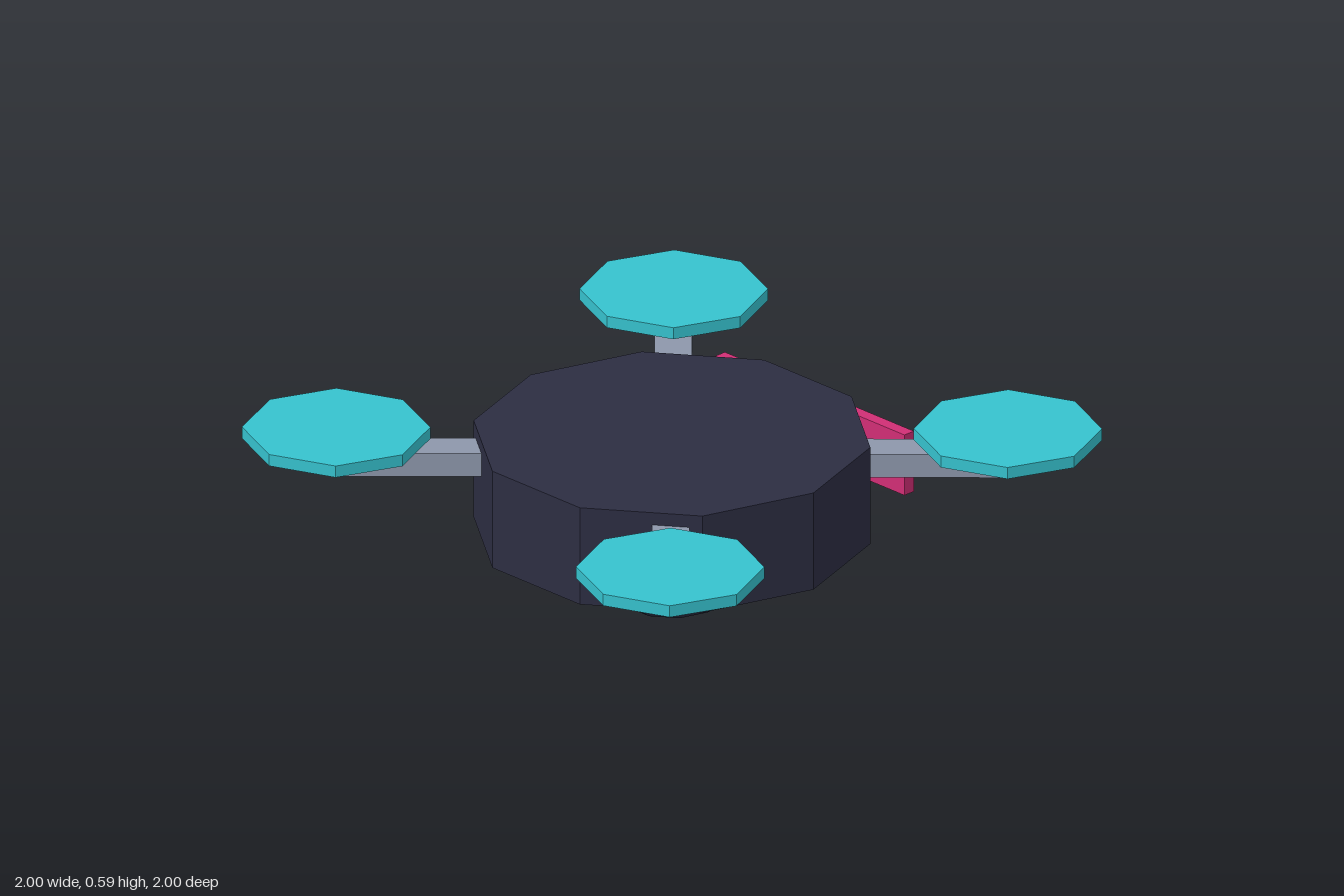
import * as THREE from 'three';

const material = (name, color) => {
  const m = new THREE.MeshStandardMaterial({ color, flatShading: true });
  m.name = name;
  return m;
};

export function createModel() {
  const model = new THREE.Group();
  model.name = 'drone';
  const navy = material('navy', 0x2c2d42);
  const grey = material('grey', 0x8d97ab);
  const teal = material('teal', 0x36c2ce);
  const pink = material('pink', 0xd02e75);
  const red = material('red', 0xe0263c);

  const add = (name, geometry, mat, x, y, z) => {
    const mesh = new THREE.Mesh(geometry, mat);
    mesh.name = name;
    mesh.position.set(x, y, z);
    model.add(mesh);
    return mesh;
  };

  // Ten-sided hull with a flattened dome below
  add('body', new THREE.CylinderGeometry(0.606, 0.606, 0.32, 10), navy, 0, 0.41, 0);
  const dome = new THREE.SphereGeometry(0.303, 10, 6);
  dome.rotateY(Math.PI / 2).scale(1, 0.205 / 0.303, 1);
  add('bellyDome', dome, navy, 0, 0.205, 0);

  // Camera eye, its poles lying along z
  const eye = new THREE.SphereGeometry(0.118, 8, 5);
  eye.rotateX(Math.PI / 2).rotateZ(Math.PI / 8).scale(0.92, 0.92, 1);
  add('cameraEye', eye, red, 0.255, 0.121, 0);

  // Side panel
  add('sidePanel', new THREE.BoxGeometry(0.04, 0.2, 0.81), pink, 0.605, 0.41, 0);

  // Four diagonal arms, each carrying a rotor disc
  const arm = new THREE.BoxGeometry(0.633, 0.077, 0.113);
  const rotor = new THREE.CylinderGeometry(0.284, 0.284, 0.038, 8);
  for (const sx of [-1, 1]) {
    for (const sz of [-1, 1]) {
      add('arm', arm, grey, sx * 0.506, 0.491, sz * 0.506).rotation.y = -sx * sz * Math.PI / 4;
      add('rotor', rotor, teal, sx * 0.716, 0.571, sz * 0.716);
    }
  }
  return model;
}
